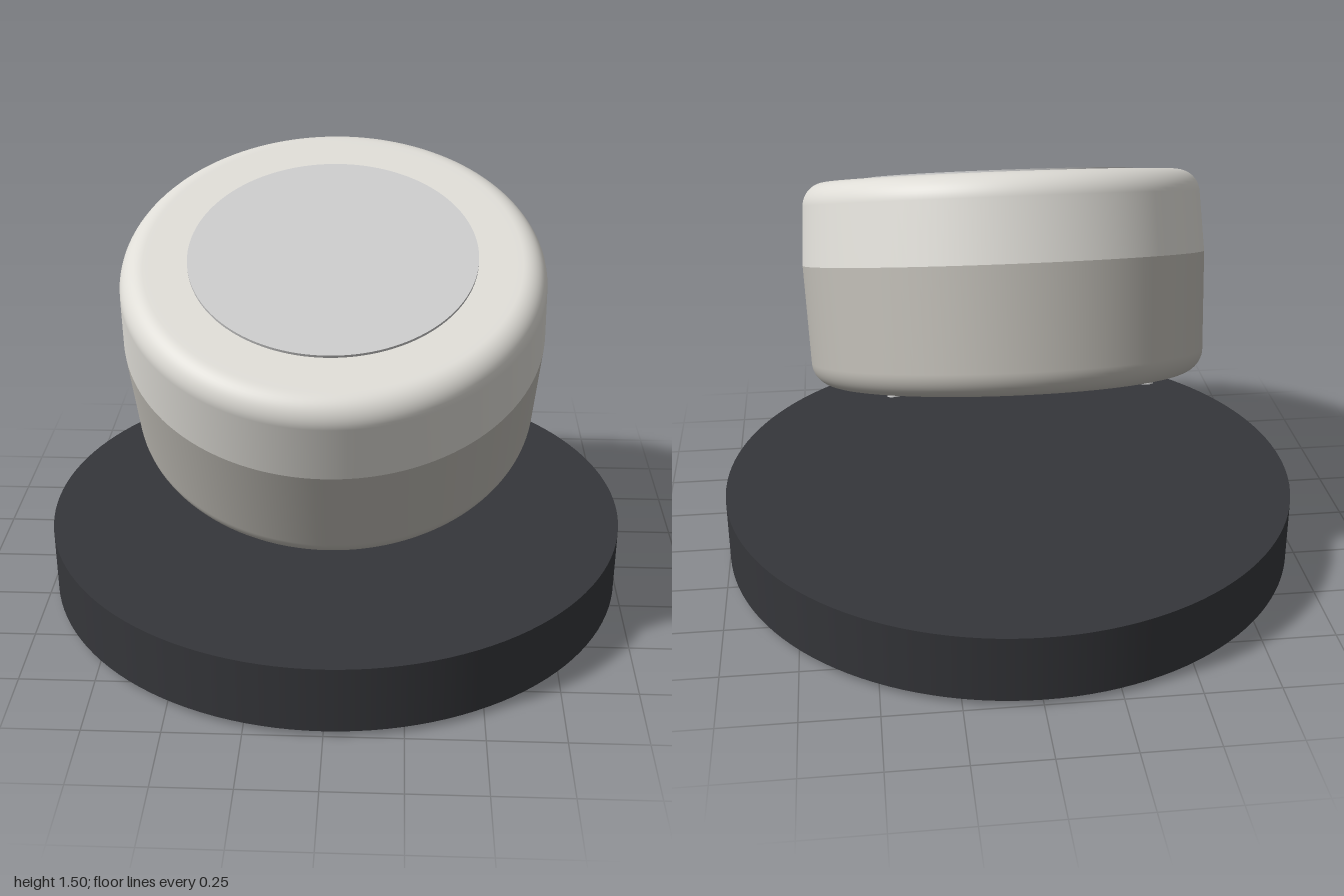
import * as THREE from 'three';

const SEG = 128;
const mat = (color) => new THREE.MeshStandardMaterial({ color });

function add(parent, name, geometry, material) {
  const mesh = new THREE.Mesh(geometry, material);
  mesh.name = name;
  parent.add(mesh);
  return mesh;
}

// Quarter-round profile points about (r, y), from angle a0 to a1 in degrees
function fillet(r, y, radius, a0, a1, steps = 12) {
  return Array.from({ length: steps + 1 }, (_, i) => {
    const a = THREE.MathUtils.degToRad(a0 + ((a1 - a0) * i) / steps);
    return new THREE.Vector2(r + radius * Math.cos(a), y + radius * Math.sin(a));
  });
}

export function createModel() {
  const model = new THREE.Group();
  const dark = mat(0x35363a);
  const upperMat = mat(0xdedcd6);
  const lowerMat = mat(0xbab7b0);
  const capMat = mat(0xe6e5e4);

  // Base disc standing on a raised foot ring
  const base = new THREE.Group();
  base.name = 'base';
  model.add(base);
  add(base, 'baseDisc', new THREE.CylinderGeometry(1, 1, 0.23, SEG), dark).position.y = 0.135;

  const ring = new THREE.Shape().absarc(0, 0, 0.895, 0, Math.PI * 2, false);
  ring.holes.push(new THREE.Path().absarc(0, 0, 0.805, 0, Math.PI * 2, true));
  const ringGeometry = new THREE.ExtrudeGeometry(ring, { depth: 0.02, bevelEnabled: false, curveSegments: 96 });
  ringGeometry.rotateX(-Math.PI / 2);
  add(base, 'footRing', ringGeometry, dark);

  // Floating head, tilted forward; its origin is the centre of the seam
  const head = new THREE.Group();
  head.name = 'head';
  head.position.set(0, 1.0225, 0.145);
  head.rotation.x = THREE.MathUtils.degToRad(20);
  model.add(head);

  const seam = new THREE.Vector2(0.69, 0);
  const top = 0.28, bottom = -0.41, round = 0.08;

  // Upper shell narrows slightly towards the rounded top
  add(head, 'upperShell', new THREE.LatheGeometry([
    seam,
    ...fillet(0.6, top - round, round, 2, 90),
    new THREE.Vector2(0.58, top),
    new THREE.Vector2(0, top),
  ], SEG), upperMat);

  // Lower shell narrows slightly towards the rounded underside
  add(head, 'lowerShell', new THREE.LatheGeometry([
    new THREE.Vector2(0, bottom),
    new THREE.Vector2(0.58, bottom),
    ...fillet(0.595, bottom + round, round, -90, -2),
    seam,
  ], SEG), lowerMat);

  // Thin round plate on the top face
  add(head, 'topPlate', new THREE.CylinderGeometry(0.46, 0.46, 0.016, SEG), capMat).position.y = top + 0.001;

  // Small studs on the underside
  for (let i = 0; i < 4; i++) {
    const a = Math.PI / 4 + (i * Math.PI) / 2;
    const stud = add(head, 'stud', new THREE.CylinderGeometry(0.02, 0.02, 0.012, 20), capMat);
    stud.position.set(0.58 * Math.cos(a), bottom, 0.58 * Math.sin(a));
  }

  return model;
}
